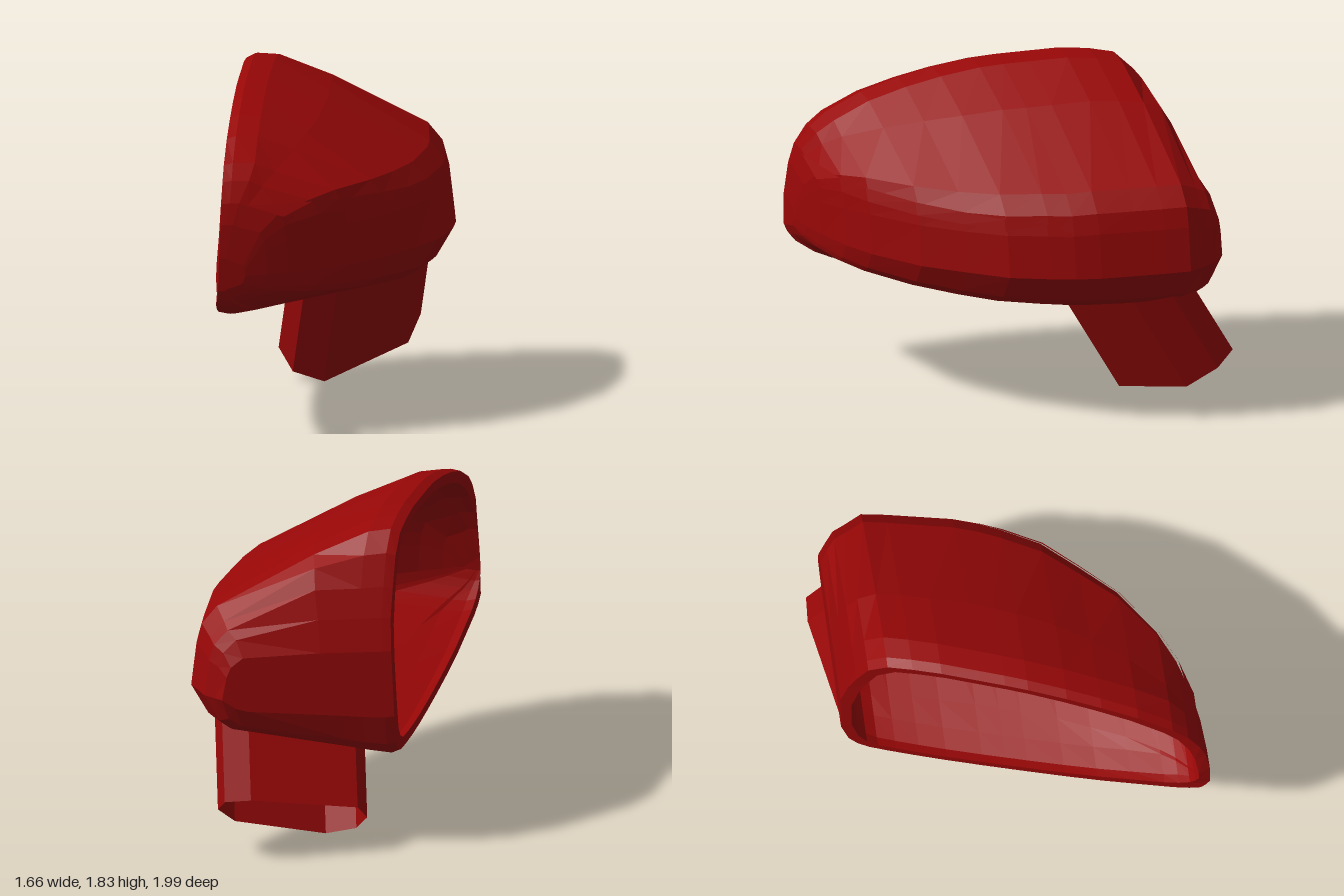
import * as THREE from 'three';
import { mergeGeometries } from 'three/addons/utils/BufferGeometryUtils.js';

const paint = new THREE.MeshStandardMaterial({ color: 0x980707, flatShading: true, side: THREE.DoubleSide });

// Stations from the back wall to the nose: z, outermost x, top y, shoulder y, bottom y
const STATIONS = [
  [-0.925, 0.68, 1.18, 1.16, 0.80],
  [-0.885, 0.72, 1.36, 1.25, 0.63],
  [-0.84, 0.77, 1.52, 1.29, 0.57],
  [-0.78, 0.79, 1.69, 1.32, 0.54],
  [-0.68, 0.83, 1.79, 1.37, 0.53],
  [-0.55, 0.81, 1.815, 1.37, 0.525],
  [-0.40, 0.78, 1.825, 1.37, 0.525],
  [-0.20, 0.74, 1.81, 1.37, 0.535],
  [-0.07, 0.70, 1.80, 1.36, 0.545],
  [0.05, 0.645, 1.785, 1.36, 0.555],
  [0.25, 0.54, 1.74, 1.35, 0.575],
  [0.43, 0.38, 1.685, 1.34, 0.60],
  [0.62, 0.20, 1.61, 1.34, 0.64],
  [0.80, -0.06, 1.50, 1.33, 0.68],
  [0.88, -0.23, 1.42, 1.30, 0.71],
  [0.94, -0.43, 1.31, 1.25, 0.75],
  [0.97, -0.56, 1.20, 1.15, 0.79],
  [0.99, -0.68, 1.02, 0.98, 0.84],
];

// Open cross-section: upper rim, over the top, round the outer side, back to the lower rim
function section([z, xMax, top, shoulder, bottom]) {
  const rim = Math.max(-0.83, -0.535 - 0.314 * z);
  const w = xMax - rim;
  const crease = 0.92;
  const o1 = Math.min(0.05, 0.12 * w), o2 = Math.min(0.17, 0.25 * w);
  // The opening leans inward towards its top
  const lean = 0.03 * THREE.MathUtils.clamp((top - 0.95) / 0.4, 0, 1);
  const up = (f) => shoulder + f * (top - shoulder);
  const mid = (f) => crease + f * (shoulder - crease);
  const low = (f) => bottom + f * (crease - bottom);
  // The back wall is flat, so its slices run level until they meet the roof
  const roof = z < -0.7 ? Math.min(up(0.95), 1.61) : up(0.67);
  return [
    [lean, up(0.95)], [o1 + lean, up(1)], [o2 + lean, up(0.97)], [0.43 * w, roof],
    [0.88 * w, shoulder], [0.95 * w, mid(0.78)], [0.975 * w, mid(0.54)], [w, crease],
    [0.92 * w, low(0.58)], [0.85 * w, low(0.43)], [0.28 * w, low(0.12)],
    [o2, low(0.05)], [o1, low(0)], [0, low(0.05)],
  ].map(([dx, y]) => new THREE.Vector3(rim + dx, y, z));
}

function fromTriangles(points) {
  const g = new THREE.BufferGeometry().setFromPoints(points);
  g.computeVertexNormals();
  return g;
}

// Skin between successive rows of points
function skin(rows, closed = false, flip = false) {
  const out = [];
  for (let i = 0; i + 1 < rows.length; i++) {
    const n = rows[i].length;
    for (let j = 0; j < (closed ? n : n - 1); j++) {
      const k = (j + 1) % n;
      const a = rows[i][j], b = rows[i + 1][j], c = rows[i + 1][k], d = rows[i][k];
      out.push(...(flip ? [a, c, b, a, d, c] : [a, b, c, a, c, d]));
    }
  }
  return fromTriangles(out);
}

// Flat end filling a section
function cap(pts, flip = false) {
  const out = [];
  for (let j = 1; j + 1 < pts.length; j++) {
    out.push(pts[0], ...(flip ? [pts[j + 1], pts[j]] : [pts[j], pts[j + 1]]));
  }
  return fromTriangles(out);
}

const rimLoop = (rows) => [...rows.map((r) => r[0]), ...rows.map((r) => r[r.length - 1]).reverse()];

// x of the outer side of a section at height y
function sideX(row, y) {
  for (let j = 2; j < 7; j++) {
    const a = row[j], b = row[j + 1];
    if (a.y >= y && b.y <= y) return THREE.MathUtils.lerp(a.x, b.x, (a.y - y) / (a.y - b.y));
  }
  return row[2].x;
}

export function createModel() {
  const group = new THREE.Group();
  const add = (name, geometry) => {
    const mesh = new THREE.Mesh(geometry, paint);
    mesh.name = name;
    group.add(mesh);
  };

  // Outer housing with its back wall and nose
  const outer = STATIONS.map(section);
  add('outerShell', mergeGeometries([
    skin(outer.map((r) => r.slice(2, -2))),
    cap(outer[0]),
    cap(outer[outer.length - 1], true),
  ]));

  // Border band running along the opening
  add('rimBand', mergeGeometries([
    skin(outer.map((r) => r.slice(0, 3))),
    skin(outer.map((r) => r.slice(-3))),
  ]));

  // Cavity behind the opening
  const inner = STATIONS.map(([z, x, t, s, b]) => section([z * 0.94, x - 0.06, t - 0.055, s - 0.05, b + 0.055]));
  add('innerShell', mergeGeometries([
    skin(inner, false, true),
    cap(inner[0], true),
    cap(inner[inner.length - 1]),
  ]));

  // Lip joining the two skins
  add('openingLip', skin([rimLoop(outer), rimLoop(inner)], true));

  // Slim strip along the front and outer side, with a tapered tail
  const strip = outer.filter((r) => r[0].z > -0.1 && r[0].z < 0.95).map((r, i) => {
    const z = r[0].z;
    const yTop = 1.22 + 0.08 * z - (i === 0 ? 0.04 : 0), yLow = 1.16 + 0.07 * z;
    return [yTop, yLow].map((y) => new THREE.Vector3(sideX(r, y) + 0.006, y, z + 0.012));
  });
  add('sideStrip', skin(strip));

  // Hollow eight-sided mounting arm, trimmed just inside the housing
  const foot = [
    [-0.11, 0.16, -0.755], [-0.06, 0.05, -0.63], [0.10, 0, -0.57], [0.60, 0.155, -0.75],
    [0.70, 0.28, -0.89], [0.67, 0.36, -0.99], [0.53, 0.37, -1.0], [-0.05, 0.27, -0.885],
  ].map((p) => new THREE.Vector3(...p));
  const axis = new THREE.Vector3(0, 0.56, 0.32);
  const head = foot.map((p) => p.clone().addScaledVector(axis, (0.63 + 0.18 * p.x - p.y) / axis.y));
  add('mountingArm', skin([foot, head], true, true));

  return group;
}
